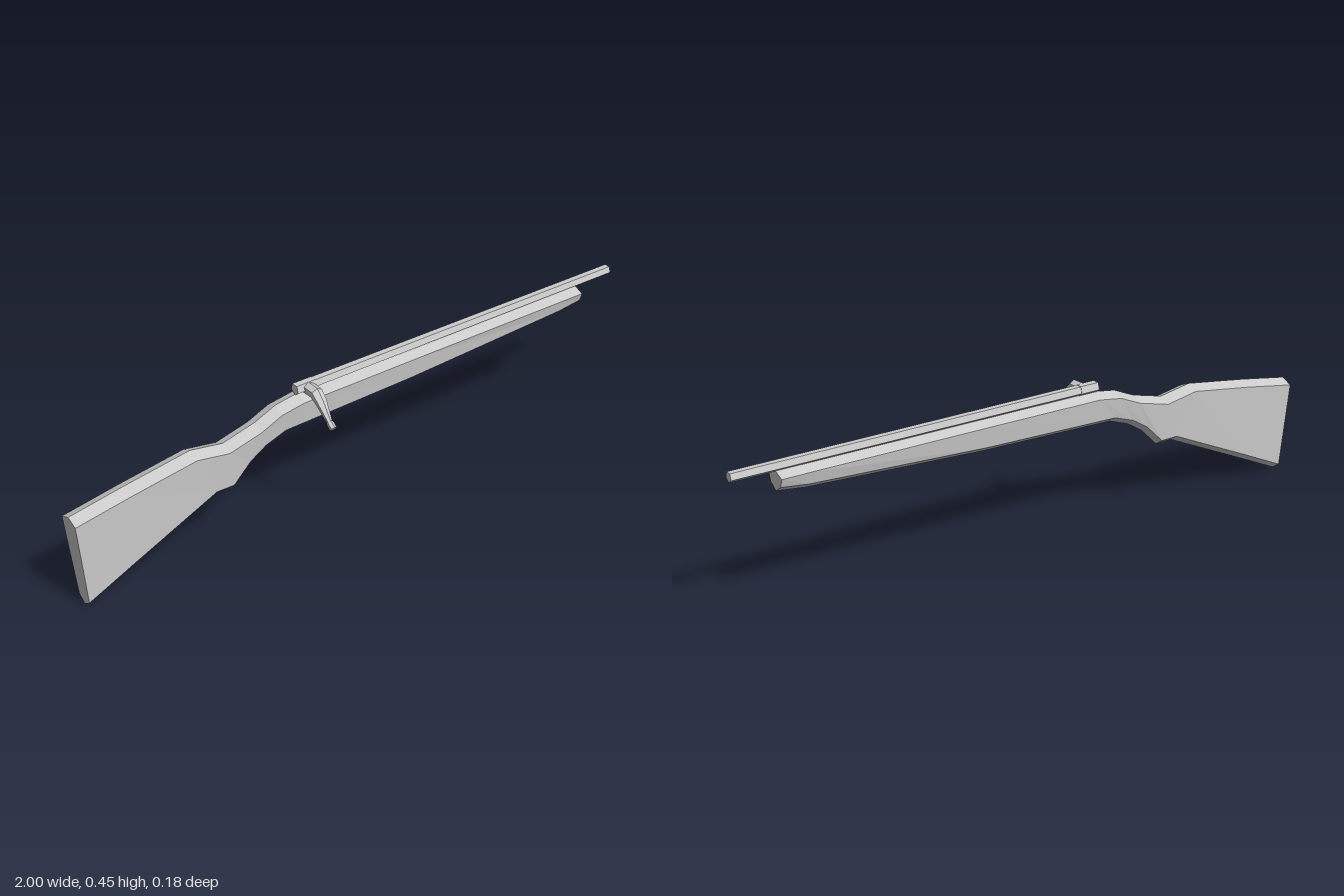
import * as THREE from 'three';

const Z = -0.05; // centre plane of the stock and barrel
const V = (x, y, z) => new THREE.Vector3(x, y, z);

// Skin a list of rings (each counterclockwise seen against the travel direction) and cap both ends
function loft(name, rings) {
  const n = rings[0].length;
  const pts = [];
  for (let r = 0; r < rings.length - 1; r++) {
    const a = rings[r], b = rings[r + 1];
    for (let i = 0; i < n; i++) {
      const j = (i + 1) % n;
      pts.push(a[i], a[j], b[j], a[i], b[j], b[i]);
    }
  }
  const first = rings[0], last = rings[rings.length - 1];
  for (let i = 1; i < n - 1; i++) {
    pts.push(first[0], first[i + 1], first[i], last[0], last[i], last[i + 1]);
  }
  const geometry = new THREE.BufferGeometry().setFromPoints(pts);
  geometry.computeVertexNormals();
  const mesh = new THREE.Mesh(geometry, new THREE.MeshStandardMaterial({ color: 0xcccccc, flatShading: true }));
  mesh.name = name;
  return mesh;
}

// Stock: six-sided section with a ridge along the top and the bottom
function makeStock() {
  // top x, top y, bottom x, bottom y
  const stations = [
    [-1, 0.31, -0.975, 0], [-0.82, 0.34, -0.81, 0.075], [-0.6, 0.372, -0.535, 0.198],
    [-0.49, 0.353, -0.475, 0.197], [-0.38, 0.38, -0.415, 0.256], [-0.305, 0.412, -0.36, 0.29],
    [-0.225, 0.424, -0.29, 0.314], [0.18, 0.426, 0.18, 0.325], [0.77, 0.427, 0.77, 0.354],
    [0.86, 0.427, 0.86, 0.365],
  ];
  const wTop = 0.037, wBottom = 0.029, bevelTop = 0.016, bevelBottom = 0.02;
  return loft('stock', stations.map(([tx, ty, bx, by]) => [
    V(tx, ty, Z),
    V(tx, ty - bevelTop, Z + wTop),
    V(bx, by + bevelBottom, Z + wBottom),
    V(bx, by, Z),
    V(bx, by + bevelBottom, Z - wBottom),
    V(tx, ty - bevelTop, Z - wTop),
  ]));
}

// Barrel and bolt body: pentagonal rods, flat side up
function makeRod(name, sections) {
  return loft(name, sections.map(([x, y, r]) => Array.from({ length: 5 }, (_, i) => {
    const a = Math.PI / 5 + (i * Math.PI * 2) / 5;
    return V(x, y + r * Math.cos(a), Z + r * Math.sin(a));
  })));
}

// Bolt handle: tapering bent arm with a small knob
function makeHandle() {
  const x = -0.193;
  // z, y, radius along x, radius across the arm
  const path = [
    [-0.05, 0.436, 0.021, 0.019], [0, 0.435, 0.021, 0.019], [0.021, 0.418, 0.019, 0.014],
    [0.062, 0.37, 0.009, 0.008], [0.067, 0.365, 0.011, 0.011], [0.082, 0.354, 0.011, 0.011],
  ];
  const u = V(1, 0, 0);
  return loft('boltHandle', path.map(([z, y, rx, rv], k) => {
    const p = path[Math.max(k - 1, 0)], q = path[Math.min(k + 1, path.length - 1)];
    const d = V(0, q[1] - p[1], q[0] - p[0]).normalize();
    const v = d.cross(u);
    return Array.from({ length: 6 }, (_, i) => {
      const a = Math.PI / 6 + (i * Math.PI) / 3;
      return V(x, y, z).addScaledVector(u, rx * Math.cos(a)).addScaledVector(v, rv * Math.sin(a));
    });
  }));
}

export function createModel() {
  const model = new THREE.Group();
  model.name = 'rifle';
  model.add(
    makeStock(),
    makeRod('barrel', [[-0.18, 0.439, 0.0175], [1, 0.439, 0.0165]]),
    makeRod('boltBody', [[-0.235, 0.439, 0.019], [-0.17, 0.439, 0.019]]),
    makeHandle(),
  );
  return model;
}
